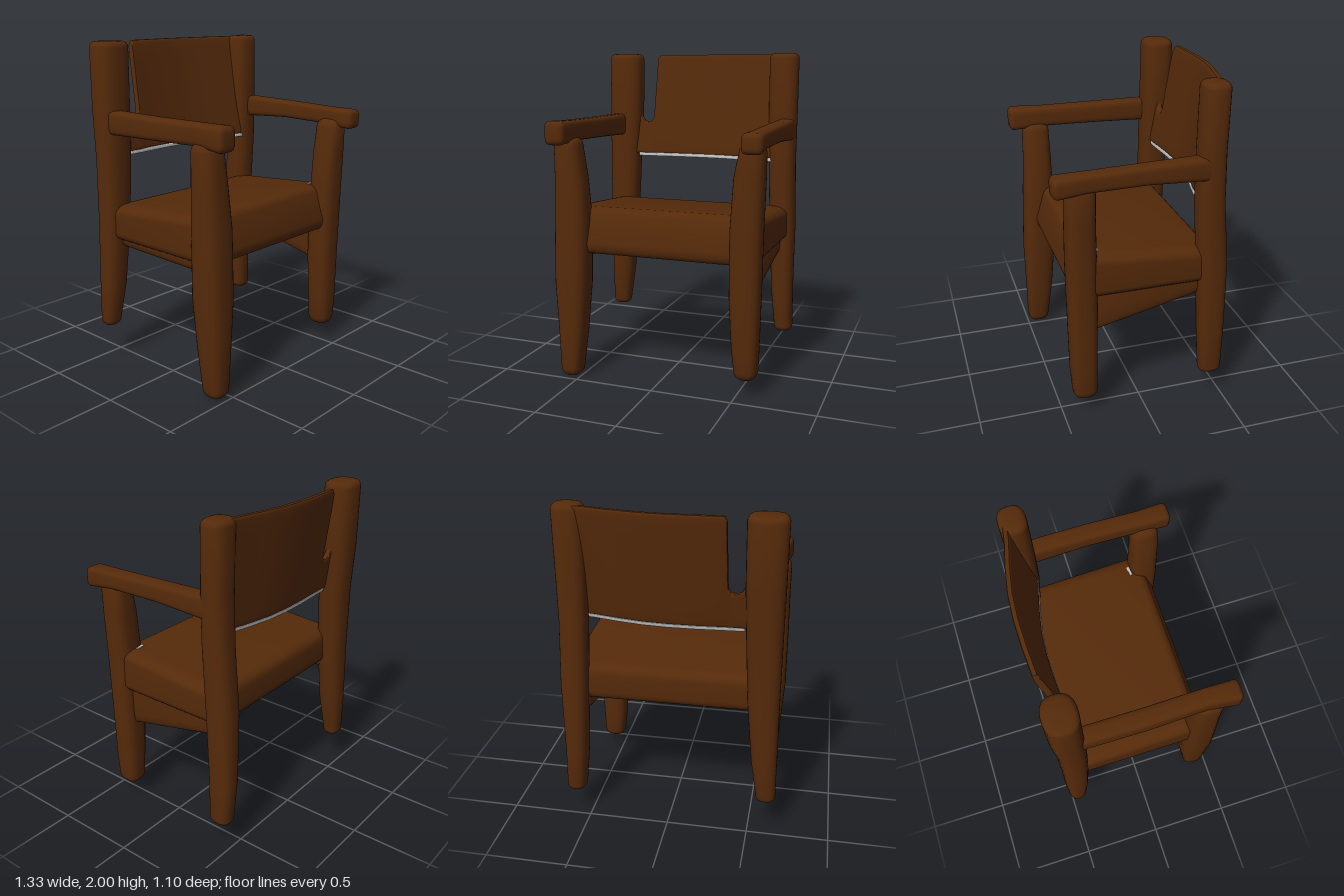
import * as THREE from 'three';
import { toCreasedNormals } from 'three/addons/utils/BufferGeometryUtils.js';

const wood = new THREE.MeshStandardMaterial({ color: 0x552a0a });
wood.name = 'brown wood';
const pale = new THREE.MeshStandardMaterial({ color: 0xc4c4c4 });
pale.name = 'pale grey edge';

const SIDES = 28;

// Rounded-square loft along an axis; stations are [t, u, v, halfU, halfV],
// where (t, u, v) runs in the cyclic order of x, y, z. Ends are rounded by r.
function loft(axis, stations, r, power) {
  const cap = ([t, u, v, hu, hv], dir) => [0, 0.25, 0.5, 0.75, 1].map((k) => {
    const a = k * Math.PI / 2, inset = r * (1 - Math.sin(a));
    return [t + dir * r * (1 - Math.cos(a)), u, v, Math.max(hu - inset, 0.005), Math.max(hv - inset, 0.005)];
  });
  const last = stations.length - 1;
  const rings = [...cap(stations[0], 1), ...stations.slice(1, -1), ...cap(stations[last], -1).reverse()];

  const pos = [], index = [];
  const put = (t, u, v) => {
    const p = [0, 0, 0];
    p[axis] = t; p[(axis + 1) % 3] = u; p[(axis + 2) % 3] = v;
    pos.push(...p);
  };
  const bend = (c) => Math.sign(c) * Math.pow(Math.abs(c), power);
  for (const [t, u, v, hu, hv] of rings) {
    for (let j = 0; j < SIDES; j++) {
      const a = (j + 0.5) / SIDES * Math.PI * 2;
      put(t, u + hu * bend(Math.cos(a)), v + hv * bend(Math.sin(a)));
    }
  }
  const end = rings.length - 1;
  for (let i = 0; i < end; i++) {
    for (let j = 0; j < SIDES; j++) {
      const a = i * SIDES + j, b = i * SIDES + (j + 1) % SIDES;
      index.push(a, b, b + SIDES, a, b + SIDES, a + SIDES);
    }
  }
  // end fans
  const c0 = pos.length / 3;
  put(...rings[0].slice(0, 3));
  put(...rings[end].slice(0, 3));
  for (let j = 0; j < SIDES; j++) {
    const k = (j + 1) % SIDES;
    index.push(c0, k, j, c0 + 1, end * SIDES + j, end * SIDES + k);
  }
  const g = new THREE.BufferGeometry();
  g.setAttribute('position', new THREE.Float32BufferAttribute(pos, 3));
  g.setIndex(index);
  return g;
}

export function createModel() {
  const chair = new THREE.Group();
  chair.name = 'armchair';
  const add = (name, geometry, material = wood) => {
    const mesh = new THREE.Mesh(toCreasedNormals(geometry, 0.7), material);
    mesh.name = name;
    chair.add(mesh);
  };
  const X = 0, Y = 1, Z = 2;

  // legs: [y, z, x, halfZ, halfX]
  add('rightFrontLeg', loft(Y, [
    [0, 0.42, -0.56, 0.072, 0.066], [0.3, 0.405, -0.555, 0.09, 0.085],
    [0.6, 0.395, -0.553, 0.105, 0.106], [1.0, 0.385, -0.55, 0.1, 0.108],
    [1.25, 0.38, -0.56, 0.09, 0.095], [1.5, 0.38, -0.575, 0.085, 0.08],
  ], 0.055, 0.7));
  add('leftFrontLeg', loft(Y, [
    [0.1, 0.36, 0.55, 0.075, 0.07], [0.3, 0.365, 0.545, 0.08, 0.08],
    [0.6, 0.365, 0.54, 0.085, 0.092], [1.0, 0.37, 0.545, 0.088, 0.095],
    [1.3, 0.375, 0.56, 0.085, 0.09], [1.5, 0.375, 0.575, 0.085, 0.075],
  ], 0.055, 0.7));
  add('rightBackLeg', loft(Y, [
    [0.22, -0.455, -0.605, 0.055, 0.06], [0.5, -0.445, -0.585, 0.075, 0.078],
    [0.9, -0.435, -0.565, 0.085, 0.095], [1.3, -0.435, -0.555, 0.09, 0.105],
    [1.6, -0.448, -0.55, 0.097, 0.112], [2.0, -0.452, -0.548, 0.097, 0.114],
  ], 0.035, 0.8));
  add('leftBackLeg', loft(Y, [
    [0.16, -0.43, 0.595, 0.07, 0.06], [0.45, -0.43, 0.58, 0.082, 0.07],
    [0.9, -0.42, 0.575, 0.09, 0.083], [1.3, -0.39, 0.57, 0.085, 0.085],
    [1.6, -0.385, 0.57, 0.08, 0.09], [2.0, -0.39, 0.57, 0.08, 0.092],
  ], 0.035, 0.78));

  // armrests: [z, x, y, halfX, halfY]
  add('rightArmrest', loft(Z, [
    [-0.42, -0.58, 1.525, 0.055, 0.072], [0, -0.585, 1.53, 0.058, 0.065],
    [0.35, -0.578, 1.535, 0.055, 0.063], [0.55, -0.59, 1.53, 0.065, 0.072],
  ], 0.03, 0.45));
  add('leftArmrest', loft(Z, [
    [-0.4, 0.6, 1.52, 0.055, 0.07], [0, 0.605, 1.525, 0.055, 0.055],
    [0.35, 0.602, 1.515, 0.055, 0.053], [0.54, 0.605, 1.505, 0.062, 0.06],
  ], 0.03, 0.45));

  // seat slab: side profile in (z, y), drawn across the width with bulging sides
  const profile = new THREE.Shape();
  profile.moveTo(0.39, 0.79);
  profile.quadraticCurveTo(0.42, 0.8, 0.42, 0.86);
  profile.lineTo(0.37, 1.03);
  profile.quadraticCurveTo(0.355, 1.07, 0.31, 1.068);
  profile.lineTo(-0.36, 1.02);
  profile.quadraticCurveTo(-0.42, 1.01, -0.42, 0.95);
  profile.lineTo(-0.42, 0.85);
  profile.quadraticCurveTo(-0.42, 0.79, -0.36, 0.79);
  const seat = new THREE.ExtrudeGeometry(profile, {
    depth: 1.08, curveSegments: 6,
    bevelThickness: 0.08, bevelSize: 0.055, bevelOffset: -0.055, bevelSegments: 6,
  });
  seat.rotateY(-Math.PI / 2).translate(0.54, 0, 0);
  add('seat', seat);

  // small pale gap where the seat meets the left front leg
  const gap = new THREE.BoxGeometry(0.06, 0.008, 0.016);
  gap.rotateY(0.12).translate(0.51, 1.066, 0.273);
  add('seatCornerGap', gap, pale);

  // side rails under the seat: [z, x, y, halfX, halfY]
  add('leftSideRail', loft(Z, [
    [-0.42, 0.535, 0.83, 0.045, 0.11], [0.38, 0.535, 0.715, 0.045, 0.175],
  ], 0.01, 0.55));
  add('rightSideRail', loft(Z, [
    [-0.42, -0.53, 0.86, 0.045, 0.11], [0.38, -0.53, 0.84, 0.045, 0.11],
  ], 0.01, 0.55));

  // thin curved backrest leaning back, with a rounded slot beside the right post: [x, z, top]
  const curve = [
    [-0.53, -0.455, 1.6], [-0.44, -0.455, 1.59], [-0.415, -0.456, 1.55],
    [-0.385, -0.457, 1.54], [-0.358, -0.458, 1.55], [-0.343, -0.459, 1.58],
    [-0.335, -0.46, 1.97], [-0.32, -0.461, 1.995], [-0.16, -0.47, 1.995],
    [0, -0.472, 1.995], [0.15, -0.462, 1.995], [0.3, -0.435, 1.995],
    [0.45, -0.4, 1.995], [0.52, -0.39, 1.995], [0.58, -0.385, 1.99],
  ];
  const lean = (g) => {
    const p = g.attributes.position;
    for (let i = 0; i < p.count; i++) p.setZ(i, p.getZ(i) - (p.getY(i) - 1.66) * 0.15);
    return g;
  };
  add('backrest', lean(loft(X, curve.map(([x, z, top]) => {
    const h = (top - 1.33) / 2;
    return [x, 1.33 + h, z, h, 0.02];
  }), 0.005, 0.25)));
  add('backrestLowerEdge', lean(loft(X, curve.slice(1, -1).map(([x, z]) =>
    [x, 1.322, z, 0.012, 0.018]), 0.003, 0.3)), pale);

  return chair;
}
